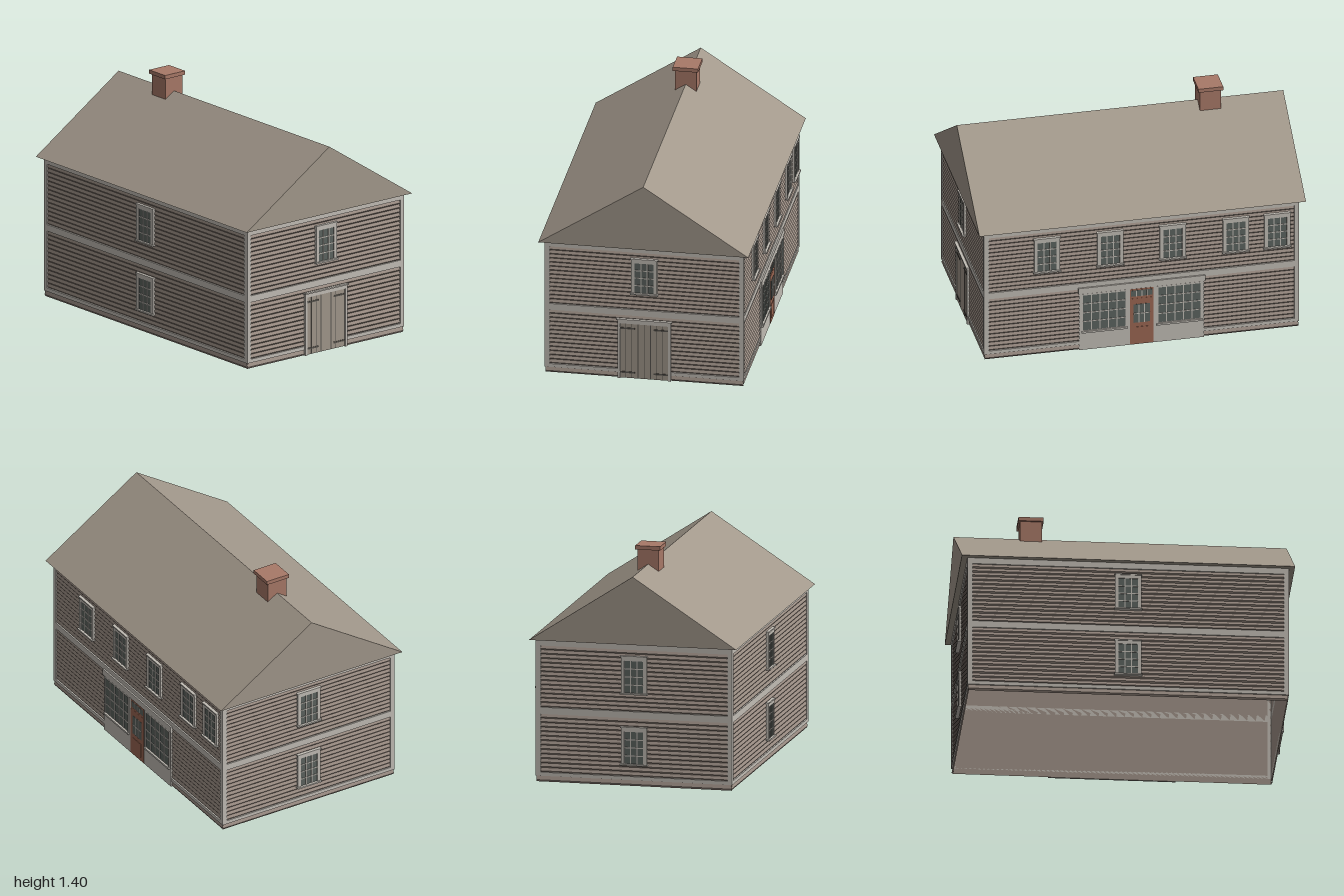
import * as THREE from 'three';

const mat = (name, color) => Object.assign(new THREE.MeshStandardMaterial({ color }), { name });

export function createModel() {
  const M = {
    siding: mat('siding brown', 0xa09288),
    shell: mat('wall lining', 0xa09287),
    trim: mat('trim off-white', 0xc2bdb5),
    roof: mat('shingle taupe', 0xa2988b),
    brick: mat('brick red', 0xa87968),
    glass: mat('glass grey', 0x5c635f),
    door: mat('door tan', 0xa0968a),
    iron: mat('iron dark', 0x55524c),
    red: mat('shop door red', 0x9a6652),
  };
  M.shell.side = THREE.DoubleSide;
  const model = new THREE.Group();
  model.name = 'house';

  // box given by its limits: u along the wall, y up, w out of the wall
  function box(parent, name, m, u0, u1, y0, y1, w0, w1) {
    const mesh = new THREE.Mesh(new THREE.BoxGeometry(u1 - u0, y1 - y0, w1 - w0), m);
    mesh.position.set((u0 + u1) / 2, (y0 + y1) / 2, (w0 + w1) / 2);
    mesh.name = name;
    parent.add(mesh);
    return mesh;
  }

  // overlapping boards: sloping face with a bevelled lower lip
  function clapboards(parent, half, y0, y1, count) {
    const pitch = (y1 - y0) / count, lip = pitch * 0.3, pos = [];
    const strip = (ya, wa, yb, wb) => pos.push(
      -half, ya, wa, half, ya, wa, half, yb, wb,
      -half, ya, wa, half, yb, wb, -half, yb, wb);
    for (let i = 0; i < count; i++) {
      const y = y0 + i * pitch;
      strip(y, 0.001, y + lip, 0.007);
      strip(y + lip, 0.007, y + pitch, 0.001);
    }
    const g = new THREE.BufferGeometry();
    g.setAttribute('position', new THREE.Float32BufferAttribute(pos, 3));
    g.computeVertexNormals();
    const mesh = new THREE.Mesh(g, M.siding);
    mesh.name = 'clapboards';
    parent.add(mesh);
  }

  // glass with glazing bars
  function glazing(parent, u0, u1, y0, y1, cols, rows, w) {
    box(parent, 'glass', M.glass, u0, u1, y0, y1, w - 0.006, w);
    const t = 0.003;
    for (let i = 1; i < cols; i++) {
      const u = u0 + (u1 - u0) * i / cols;
      box(parent, 'glazingBar', M.trim, u - t, u + t, y0, y1, w - 0.004, w + 0.003);
    }
    for (let j = 1; j < rows; j++) {
      const y = y0 + (y1 - y0) * j / rows;
      box(parent, 'glazingBar', M.trim, u0, u1, y - t, y + t, w - 0.004, w + 0.003);
    }
  }

  // sash window with casing, sill and cap
  function sashWindow(parent, u, y) {
    const g = new THREE.Group();
    g.name = 'window';
    g.position.set(u, y, 0);
    parent.add(g);
    for (const s of [-1, 1]) {
      const a = s * 0.058, b = s * 0.079;
      box(g, 'casing', M.trim, Math.min(a, b), Math.max(a, b), 0, 0.235, 0.001, 0.018);
    }
    box(g, 'headCasing', M.trim, -0.058, 0.058, 0.205, 0.235, 0.001, 0.018);
    box(g, 'cap', M.trim, -0.083, 0.083, 0.227, 0.235, 0.001, 0.023);
    box(g, 'sill', M.trim, -0.084, 0.084, 0, 0.009, 0.001, 0.028);
    glazing(g, -0.058, 0.058, 0.009, 0.205, 3, 4, 0.013);
  }

  // one wall: lining, boards, corner posts and bands
  function wall(name, angle, half, out) {
    const holder = new THREE.Group();
    holder.name = name;
    holder.rotation.y = angle;
    model.add(holder);
    const g = new THREE.Group();
    g.name = name + 'Face';
    g.position.z = out - 0.01;
    holder.add(g);
    const lining = new THREE.Mesh(new THREE.PlaneGeometry(2 * half - 0.02, 0.87), M.shell);
    lining.name = 'lining';
    lining.position.y = 0.435;
    g.add(lining);
    clapboards(g, half - 0.004, 0, 0.036, 1);
    clapboards(g, half - 0.02, 0.058, 0.414, 13);
    clapboards(g, half - 0.02, 0.455, 0.832, 14);
    box(g, 'baseBand', M.trim, -half, half, 0.036, 0.058, 0, 0.01);
    box(g, 'middleBand', M.trim, -half, half, 0.414, 0.455, 0, 0.01);
    box(g, 'frieze', M.trim, -half, half, 0.832, 0.87, 0, 0.01);
    box(g, 'cornerBoard', M.trim, -half, -half + 0.03, 0.036, 0.87, 0, 0.01);
    box(g, 'cornerBoard', M.trim, half - 0.03, half, 0.036, 0.87, 0, 0.01);
    return g;
  }

  const HX = 0.965, HZ = 0.605, UP = 0.56, LOW = 0.127;
  const front = wall('frontWall', 0, HX, HZ);
  const back = wall('backWall', Math.PI, HX, HZ);
  const doorSide = wall('doorGableWall', Math.PI / 2, HZ, HX);
  const windowSide = wall('windowGableWall', -Math.PI / 2, HZ, HX);

  for (const w of [front, windowSide]) {
    sashWindow(w, 0, UP);
    sashWindow(w, 0, LOW);
  }
  sashWindow(doorSide, 0, UP);
  for (const x of [0.58, 0.193, -0.19, -0.577, -0.83]) sashWindow(back, -x, UP);

  // double plank door with strap hinges
  const barn = new THREE.Group();
  barn.name = 'plankDoor';
  doorSide.add(barn);
  box(barn, 'doorLeaves', M.door, -0.145, 0.145, 0.003, 0.362, 0.001, 0.012);
  box(barn, 'headCasing', M.trim, -0.162, 0.162, 0.362, 0.388, 0.001, 0.017);
  box(barn, 'cap', M.trim, -0.168, 0.168, 0.384, 0.392, 0.001, 0.024);
  box(barn, 'meetingJoint', M.iron, -0.001, 0.001, 0.003, 0.362, 0.01, 0.0125);
  for (const s of [-1, 1]) {
    const mirrored = (name, m, a, b, y0, y1, w0, w1) =>
      box(barn, name, m, Math.min(s * a, s * b), Math.max(s * a, s * b), y0, y1, w0, w1);
    mirrored('sideCasing', M.trim, 0.145, 0.162, 0, 0.362, 0.001, 0.017);
    mirrored('plankJoint', M.iron, 0.035, 0.041, 0.003, 0.36, 0.01, 0.0127);
    for (const u of [0.075, 0.112])
      mirrored('plankJoint', M.iron, u - 0.0015, u + 0.0015, 0.003, 0.36, 0.01, 0.0127);
    for (const y of [0.04, 0.33])
      mirrored('strapHinge', M.iron, 0.057, 0.145, y - 0.005, y + 0.005, 0.01, 0.015);
  }

  // shop front with two display windows around a door
  const shop = new THREE.Group();
  shop.name = 'shopFront';
  back.add(shop);
  box(shop, 'shopPanel', M.trim, -0.383, 0.383, 0, 0.42, 0.001, 0.013);
  box(shop, 'cornice', M.trim, -0.388, 0.388, 0.385, 0.425, 0.001, 0.019);
  for (const s of [-1, 1]) {
    const u0 = s > 0 ? 0.1 : -0.36, u1 = u0 + 0.26;
    glazing(shop, u0, u1, 0.135, 0.375, 5, 4, 0.015);
    box(shop, 'displaySill', M.trim, u0 - 0.01, u1 + 0.01, 0.118, 0.13, 0.001, 0.025);
    box(shop, 'displayHead', M.trim, u0 - 0.01, u1 + 0.01, 0.375, 0.385, 0.001, 0.02);
    for (const u of [u0 - 0.01, u1])
      box(shop, 'displayJamb', M.trim, u, u + 0.01, 0.13, 0.375, 0.001, 0.02);
  }
  box(shop, 'shopDoor', M.red, -0.073, 0.073, 0.003, 0.315, 0.001, 0.0155);
  box(shop, 'doorLowerPanel', M.red, -0.045, 0.045, 0.03, 0.12, 0.001, 0.018);
  glazing(shop, -0.05, 0.05, 0.15, 0.275, 3, 2, 0.017);
  box(shop, 'transomFrame', M.red, -0.073, 0.073, 0.315, 0.38, 0.001, 0.0145);
  glazing(shop, -0.066, 0.066, 0.33, 0.37, 4, 1, 0.016);

  // gabled roof
  const gable = new THREE.Shape([
    new THREE.Vector2(-0.638, 0.87), new THREE.Vector2(0.638, 0.87), new THREE.Vector2(0, 1.285)]);
  const roof = new THREE.Mesh(
    new THREE.ExtrudeGeometry(gable, { depth: 2, bevelEnabled: false }).translate(0, 0, -1), M.roof);
  roof.rotation.y = Math.PI / 2;
  roof.name = 'roof';
  model.add(roof);

  // chimney on the ridge
  box(model, 'chimneyShaft', M.brick, -0.605, -0.475, 1.18, 1.375, -0.065, 0.065);
  box(model, 'chimneyCap', M.brick, -0.616, -0.464, 1.373, 1.397, -0.077, 0.077);

  return model;
}
